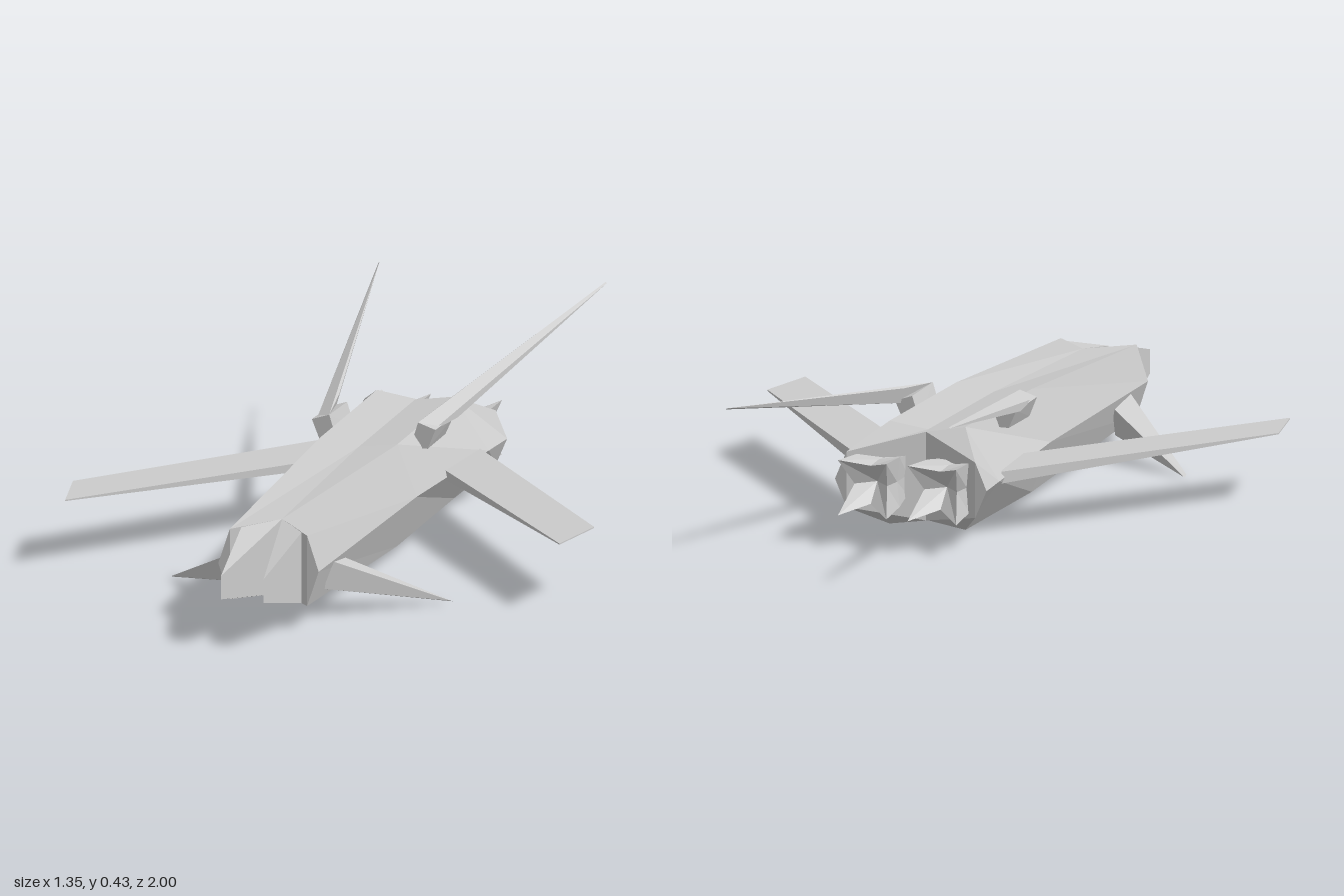
import * as THREE from 'three';
import { ConvexGeometry } from 'three/addons/geometries/ConvexGeometry.js';

const material = new THREE.MeshStandardMaterial({ color: 0xcccccc, flatShading: true });

function named(geometry, name) {
  const mesh = new THREE.Mesh(geometry, material);
  mesh.name = name;
  return mesh;
}

// Convex solid around a few corners
function hull(name, points, side = 1) {
  return named(new ConvexGeometry(points.map(([x, y, z]) => new THREE.Vector3(x * side, y, z))), name);
}

// Skin over rings of equal length, listed front to back, clockwise seen from the front
function loft(rings, capFaces, extra = []) {
  const n = rings[0].length, index = [];
  for (let r = 0; r < rings.length - 1; r++) {
    for (let i = 0; i < n; i++) {
      const j = (i + 1) % n, a = r * n + i, b = r * n + j;
      index.push(a, b, b + n, a, b + n, a + n);
    }
  }
  const geometry = new THREE.BufferGeometry();
  geometry.setAttribute('position', new THREE.Float32BufferAttribute([...rings.flat(), ...extra].flat(), 3));
  geometry.setIndex([...index, ...capFaces.flat()]);
  const flat = geometry.toNonIndexed();
  flat.computeVertexNormals();
  return flat;
}

// Eight-sided hull with a shallow groove above and below, and V-notched ends
function fuselage() {
  const section = (grooveY, grooveZ, edgeX, edgeY, midX, z) => {
    const half = [
      [0, grooveY, grooveZ], [edgeX, edgeY, z], [midX, 0.15, z],
      [edgeX, 0.3 - edgeY, z], [0, 0.3 - grooveY, grooveZ],
    ];
    const mirrored = [half[3], half[2], half[1]].map(([x, y, zz]) => [-x, y, zz]);
    return [...half, ...mirrored];
  };
  const rings = [
    section(0.245, 0.68, 0.1, 0.24, 0.13, 0.79),
    section(0.265, 0.07, 0.1, 0.28, 0.15, 0.07),
    section(0.265, -0.38, 0.1, 0.28, 0.19, -0.385),
    section(0.262, -0.395, 0.17, 0.22, 0.2, -0.5),
  ];
  const front = [[0, 4, 3], [0, 3, 1], [1, 3, 2], [0, 7, 5], [0, 5, 4], [7, 6, 5]];
  const back = front.map(([a, b, c]) => [a + 24, c + 24, b + 24]);
  return named(loft(rings, [...front, ...back]), 'fuselage');
}

// Nozzle flaring into four points with a hollow, star-shaped mouth
function nozzle(side) {
  const cx = 0.092 * side, cy = 0.15;
  const ring = (cornerX, cornerY, cornerZ, midX, midY, midZ) =>
    Array.from({ length: 8 }, (_, i) => {
      const angle = Math.PI / 2 - (i * Math.PI) / 4;
      const corner = i % 2 === 1;
      const ux = Math.sign(Math.round(Math.cos(angle) * 10));
      const uy = Math.sign(Math.round(Math.sin(angle) * 10));
      return [
        cx + ux * (corner ? cornerX : midX),
        cy + uy * (corner ? cornerY : midY),
        corner ? cornerZ : midZ,
      ];
    });
  const rings = [
    ring(0.045, 0.05, -0.4, 0.045, 0.05, -0.4),
    ring(0.055, 0.063, -0.48, 0.048, 0.053, -0.48),
    ring(0.064, 0.07, -0.595, 0.043, 0.048, -0.535),
  ];
  const mouth = Array.from({ length: 8 }, (_, i) => [16 + i, 16 + ((i + 1) % 8), 24]);
  return named(loft(rings, mouth, [[cx, cy, -0.49]]), 'engineNozzle');
}

export function createModel() {
  const model = new THREE.Group();
  model.name = 'spacecraft';
  model.add(fuselage());

  for (const s of [1, -1]) {
    // Wedge prongs of the split nose
    model.add(hull('noseProng', [
      [0, 0.245, 0.68], [0, 0.055, 0.68],
      [0.078, 0.24, 0.766], [0.078, 0.06, 0.766],
      [0.055, 0.18, 1], [0.055, 0.12, 1],
    ], s));

    // Thin forward-swept wings
    model.add(hull('wing', [
      [0.18, 0.165, -0.345], [0.18, 0.135, -0.345],
      [0.13, 0.165, -0.165], [0.13, 0.14, -0.165],
      [0.675, 0.173, 0.27], [0.675, 0.17, 0.27],
      [0.64, 0.173, 0.44], [0.64, 0.17, 0.44],
    ], s));

    // Drooping front fins
    model.add(hull('frontFin', [
      [0.12, 0.15, 0.68], [0.11, 0.075, 0.68],
      [0.12, 0.055, 0.59], [0.12, 0.13, 0.57],
      [0.362, 0.005, 0.45], [0.362, 0, 0.437],
    ], s));

    // Mounts and long swept-back tail spikes
    const mount = [-0.05, -0.192].flatMap((z) => [
      [0.095, 0.24, z], [0.14, 0.24, z],
      [0.115, z > -0.1 ? 0.305 : 0.3, z], [0.16, z > -0.1 ? 0.29 : 0.285, z],
    ]);
    model.add(hull('spikeMount', mount, s));
    model.add(hull('tailSpike', [
      [0.115, 0.305, -0.05], [0.15, 0.285, -0.05],
      [0.135, 0.318, -0.192], [0.172, 0.285, -0.192], [0.145, 0.28, -0.192],
      [0.293, 0.425, -1], [0.296, 0.422, -1],
    ], s));

    model.add(nozzle(s));
  }
  return model;
}
